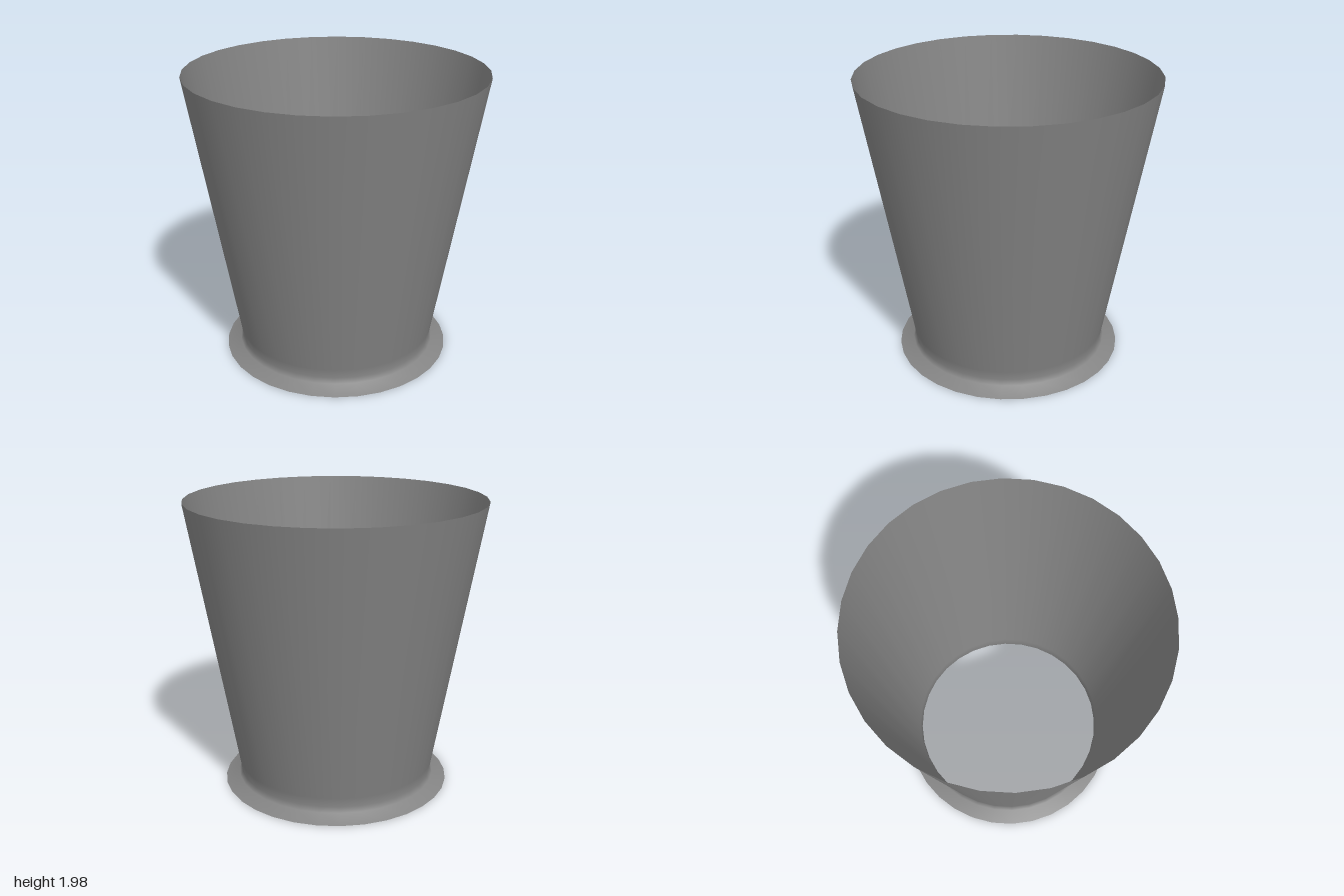
import * as THREE from 'three';

export function createModel() {
  const group = new THREE.Group();
  group.name = 'cup';

  // Thin open shell: flared foot, softly rounded neck, tapered wall; open at both ends
  const profile = [
    [0.785, 0], [0.69, 0.04], [0.673, 0.075], [0.683, 0.14], [1, 1.977],
  ].map(([r, y]) => new THREE.Vector2(r, y));

  const material = new THREE.MeshStandardMaterial({ color: 0x848484, side: THREE.DoubleSide });
  const shell = new THREE.Mesh(new THREE.LatheGeometry(profile, 32), material);
  shell.name = 'cupShell';
  group.add(shell);

  return group;
}
